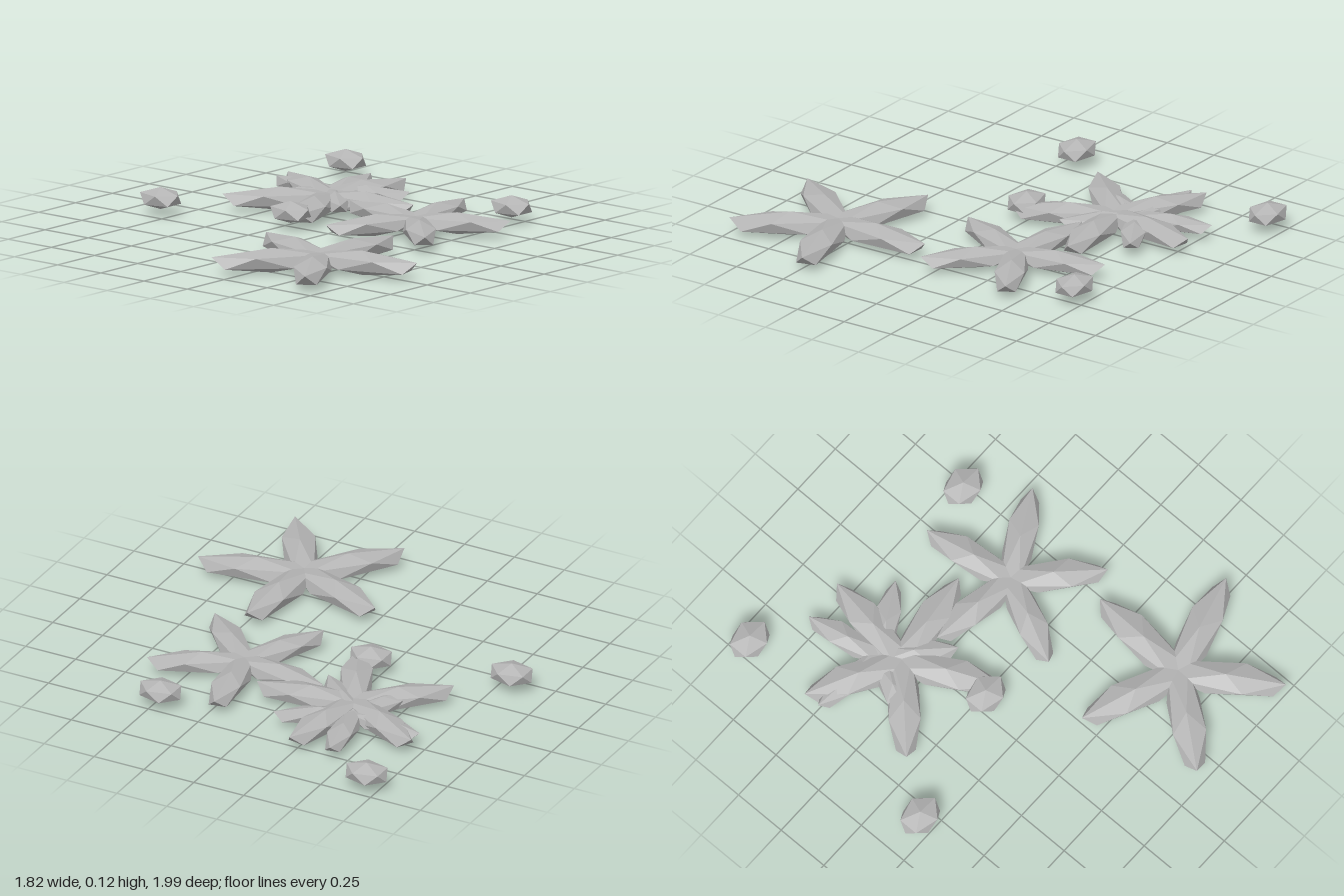
import * as THREE from 'three';

export function createModel() {
  const model = new THREE.Group();
  const stone = new THREE.MeshStandardMaterial({ color: 0xb4b4b4 });
  stone.name = 'pale grey';
  stone.flatShading = true;

  // Twenty-sided ball with a corner pointing up and another towards +x
  const ball = (rx, ry, rz) => new THREE.IcosahedronGeometry(1, 0)
    .rotateX(-Math.atan((1 + Math.sqrt(5)) / 2))
    .rotateY(Math.PI / 2)
    .scale(rx, ry, rz);

  // Starfish: five stretched balls overlapping at the centre
  const armGeometry = ball(0.3, 0.055, 0.087).translate(0.212, 0, 0);
  function addStarfish(name, x, z, radius, degrees) {
    const star = new THREE.Group();
    star.name = name;
    for (let i = 0; i < 5; i++) {
      const arm = new THREE.Mesh(armGeometry, stone);
      arm.name = 'arm' + (i + 1);
      arm.rotation.y = -THREE.MathUtils.degToRad(degrees + i * 72);
      star.add(arm);
    }
    star.position.set(x, 0.056, z);
    star.scale.setScalar(radius / 0.48);
    model.add(star);
  }
  addStarfish('frontStarfish', 0.446, 0.588, 0.48, -87.2);
  addStarfish('rightStarfish', 0.286, -0.254, 0.43, -100.3);
  addStarfish('leftStarfish', -0.32, -0.36, 0.457, -79.9);
  addStarfish('smallStarfish', -0.37, -0.453, 0.355, -101);

  // Pebbles scattered around them
  const pebbleGeometry = ball(0.111, 0.05, 0.0875);
  const spots = [[-0.69, -0.926], [0.47, -0.693], [-0.196, 0.024], [-0.815, 0.183]];
  spots.forEach(([x, z], i) => {
    const pebble = new THREE.Mesh(pebbleGeometry, stone);
    pebble.name = 'pebble' + (i + 1);
    pebble.position.set(x, 0.075, z);
    model.add(pebble);
  });

  return model;
}
